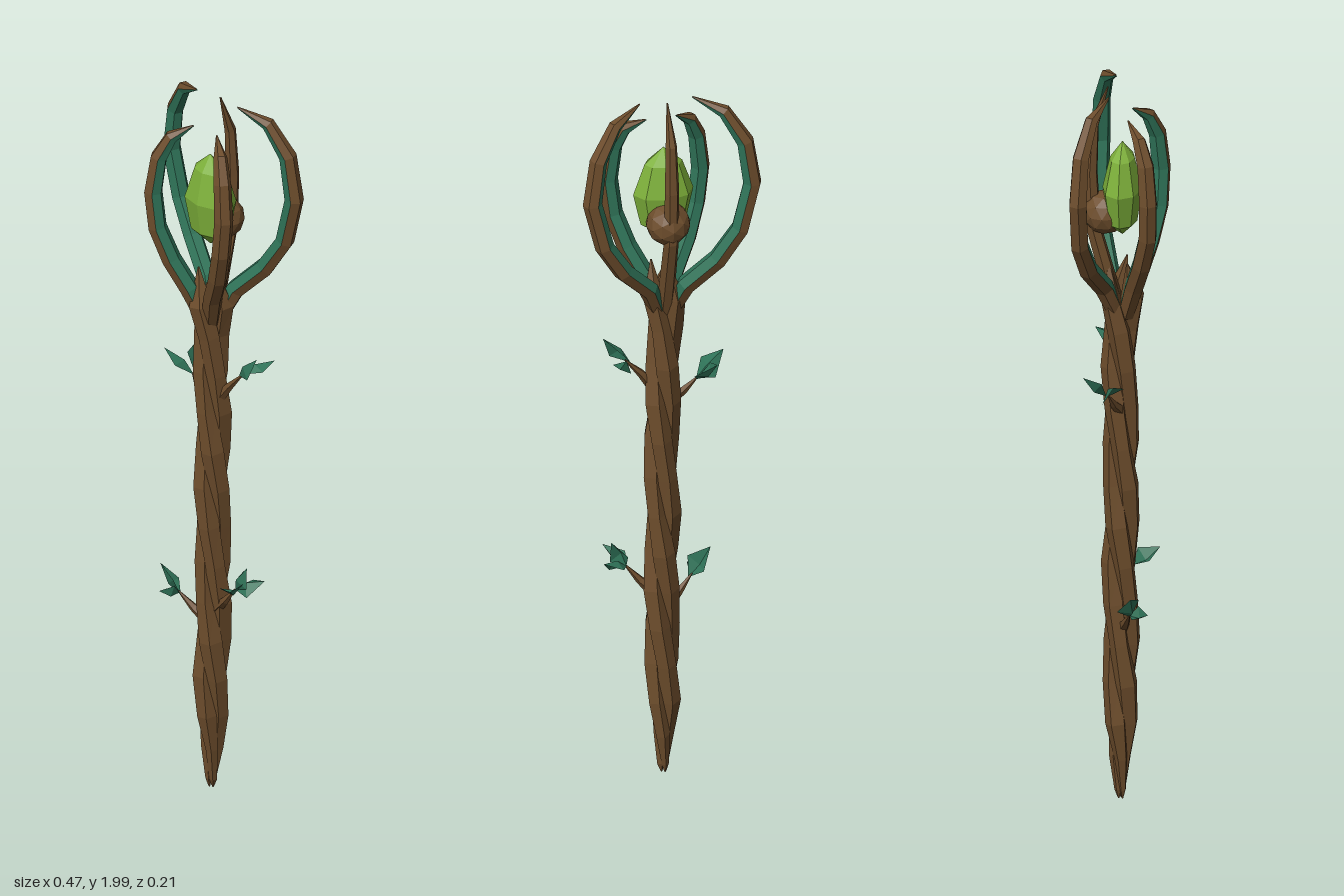
import * as THREE from 'three';

const wood = new THREE.MeshStandardMaterial({ color: 0x6d4d2c, flatShading: true });
wood.name = 'wood';
const green = new THREE.MeshStandardMaterial({ color: 0x2f7358, flatShading: true, side: THREE.DoubleSide });
green.name = 'leafGreen';
const gemGreen = new THREE.MeshStandardMaterial({ color: 0x7db03a, flatShading: true });
gemGreen.name = 'gemGreen';

const V = (a) => new THREE.Vector3(...a);

function facets(positions) {
  const g = new THREE.BufferGeometry();
  g.setAttribute('position', new THREE.Float32BufferAttribute(positions, 3));
  g.computeVertexNormals();
  return g;
}

// Sweeps a polygon along points; faces turned to the inside of the bend form group 1.
function sweep(points, radii, sides, across) {
  const rings = points.map((p, j) => {
    const t = points[Math.min(j + 1, points.length - 1)].clone()
      .sub(points[Math.max(j - 1, 0)]).normalize();
    const n = across.clone().cross(t).normalize();
    const s = t.clone().cross(n);
    return Array.from({ length: sides }, (_, i) => {
      const a = ((i + 0.5) / sides) * Math.PI * 2;
      return p.clone().addScaledVector(n, Math.cos(a) * radii[j]).addScaledVector(s, Math.sin(a) * radii[j]);
    });
  });
  const outer = [], inner = [];
  for (let j = 0; j < rings.length - 1; j++) {
    for (let i = 0; i < sides; i++) {
      const k = (i + 1) % sides;
      const list = Math.cos(((i + 1) / sides) * Math.PI * 2) > 0.1 ? inner : outer;
      const a = rings[j][i], b = rings[j][k], c = rings[j + 1][k], d = rings[j + 1][i];
      for (const v of [a, b, c, a, c, d]) list.push(v.x, v.y, v.z);
    }
  }
  const g = facets([...outer, ...inner]);
  g.addGroup(0, outer.length / 3, 0);
  g.addGroup(outer.length / 3, inner.length / 3, 1);
  return g;
}

function add(parent, name, geometry, material) {
  const m = new THREE.Mesh(geometry, material);
  m.name = name;
  parent.add(m);
  return m;
}

// Folded diamond leaf with a raised middle rib.
function leaf(parent, base, tip, width) {
  const b = V(base), t = V(tip), w = V(width);
  const fold = t.clone().sub(b).cross(w).normalize().multiplyScalar(0.012);
  const mid = b.clone().lerp(t, 0.42);
  const l = mid.clone().sub(w).add(fold), r = mid.clone().add(w).add(fold);
  mid.sub(fold);
  const pos = [];
  for (const v of [b, mid, l, l, mid, t, b, r, mid, r, t, mid]) pos.push(v.x, v.y, v.z);
  add(parent, 'leaf', facets(pos), green);
}

export function createModel() {
  const staff = new THREE.Group();
  staff.name = 'staff';

  // Shaft: three roots twisted together, ending in short points under the crown
  const shaft = new THREE.Group();
  shaft.name = 'shaft';
  staff.add(shaft);
  const heights = [0.005, 0.03, 0.12, 0.22, 0.33, 0.44, 0.55, 0.66, 0.77, 0.88, 0.99, 1.1, 1.21, 1.32, 1.41, 1.51];
  for (let s = 0; s < 3; s++) {
    const pts = [], radii = [];
    heights.forEach((y, j) => {
      const a = s * Math.PI * 2 / 3 + y * 7.2;
      const grow = Math.min(1, 0.25 + y * 3);
      const off = y > 1.4 ? 0.033 : 0.021 * grow;
      const x = 0.007 * Math.sin(Math.PI * Math.min(y / 1.4, 1));
      pts.push(new THREE.Vector3(x + Math.cos(a) * off, y, Math.sin(a) * off - 0.004));
      const last = j === heights.length - 1;
      radii.push(j === 0 || last ? 0.002 : (0.029 + 0.003 * Math.sin(j * 2.1 + s * 2)) * grow);
    });
    add(shaft, 'twistedRoot', sweep(pts, radii, 5, V([1, 0, 0])), wood);
  }

  // Crown prongs: bark outside, green inside
  const prongRadii = [0.022, 0.026, 0.026, 0.025, 0.025, 0.023, 0.018, 0.002];
  const backProng = [[0.015, 1.36, -0.01], [0.05, 1.45, -0.04], [0.125, 1.53, -0.07], [0.18, 1.62, -0.085],
    [0.212, 1.75, -0.085], [0.195, 1.87, -0.08], [0.145, 1.955, -0.06], [0.07, 1.99, -0.025]];
  const frontProng = [[0.01, 1.36, 0.01], [0.04, 1.45, 0.035], [0.08, 1.53, 0.06], [0.11, 1.62, 0.08],
    [0.122, 1.72, 0.083], [0.11, 1.82, 0.075], [0.085, 1.88, 0.055], [0.04, 1.915, 0.02]];
  for (const side of [1, -1]) {
    for (const [name, path] of [['backProng', backProng], ['frontProng', frontProng]]) {
      const pts = path.map(([x, y, z]) => new THREE.Vector3(x * side, y, z));
      const out = new THREE.Vector3(pts[4].x, 0, pts[4].z).normalize();
      const across = out.cross(new THREE.Vector3(0, 1, 0));
      add(staff, name, sweep(pts, prongRadii, 6, across), [wood, green]);
    }
  }

  // Rear spine with the knot that holds the gem
  const spine = [[0, 1.36, -0.01], [0, 1.45, -0.035], [0, 1.6, -0.075], [0, 1.75, -0.082],
    [0, 1.88, -0.075], [0, 1.99, -0.037]].map(V);
  add(staff, 'rearSpine', sweep(spine, [0.022, 0.022, 0.02, 0.019, 0.015, 0.002], 6, V([-1, 0, 0])), wood);
  const knot = add(staff, 'gemKnot', new THREE.IcosahedronGeometry(0.058, 1), wood);
  knot.position.set(0, 1.64, -0.045);

  // Gem
  const profile = [[0, -0.13], [0.06, -0.09], [0.08, 0], [0.05, 0.085], [0, 0.13]]
    .map(([r, y]) => new THREE.Vector2(r, y));
  const gem = add(staff, 'gem', new THREE.LatheGeometry(profile, 8), gemGreen);
  gem.position.set(0, 1.71, 0);
  gem.scale.z = 0.64;

  // Twigs: path, then leaves as base, tip and half width
  const twigs = [
    { path: [[0.02, 1.13, 0], [0.06, 1.185, -0.005], [0.105, 1.235, -0.01]],
      leaves: [[[0.09, 1.225, -0.01], [0.16, 1.3, 0], [0.012, -0.012, 0.026]],
        [[0.1, 1.23, -0.015], [0.14, 1.255, -0.09], [0.022, 0.012, 0.008]]] },
    { path: [[-0.01, 1.09, 0], [-0.05, 1.125, -0.015], [-0.085, 1.165, -0.025]],
      leaves: [[[-0.08, 1.16, -0.025], [-0.16, 1.22, 0], [-0.012, -0.018, -0.026]],
        [[-0.08, 1.16, -0.03], [-0.12, 1.225, -0.085], [-0.024, 0.012, 0.01]]] },
    { path: [[0.02, 0.53, 0], [0.06, 0.57, 0.01], [0.1, 0.62, 0.015]],
      leaves: [[[0.095, 0.615, 0.015], [0.14, 0.65, 0.078], [0.024, 0.008, -0.018]],
        [[0.095, 0.615, 0.01], [0.165, 0.65, -0.025], [0.012, -0.012, 0.026]],
        [[0.095, 0.615, 0.01], [0.135, 0.69, 0.01], [0.02, -0.012, 0.015]]] },
    { path: [[0, 0.48, 0], [-0.045, 0.515, 0.015], [-0.085, 0.555, 0.03]],
      leaves: [[[-0.075, 0.545, 0.03], [-0.137, 0.62, 0.04], [0.014, 0.012, 0.026]],
        [[-0.08, 0.55, 0.03], [-0.105, 0.565, 0.08], [0.018, 0.012, 0.006]]] },
  ];
  for (const { path, leaves } of twigs) {
    const twig = new THREE.Group();
    twig.name = 'twig';
    staff.add(twig);
    add(twig, 'twigStem', sweep(path.map(V), [0.017, 0.011, 0.002], 5, V([0, 0, 1])), wood);
    for (const [base, tip, width] of leaves) leaf(twig, base, tip, width);
  }
  return staff;
}
